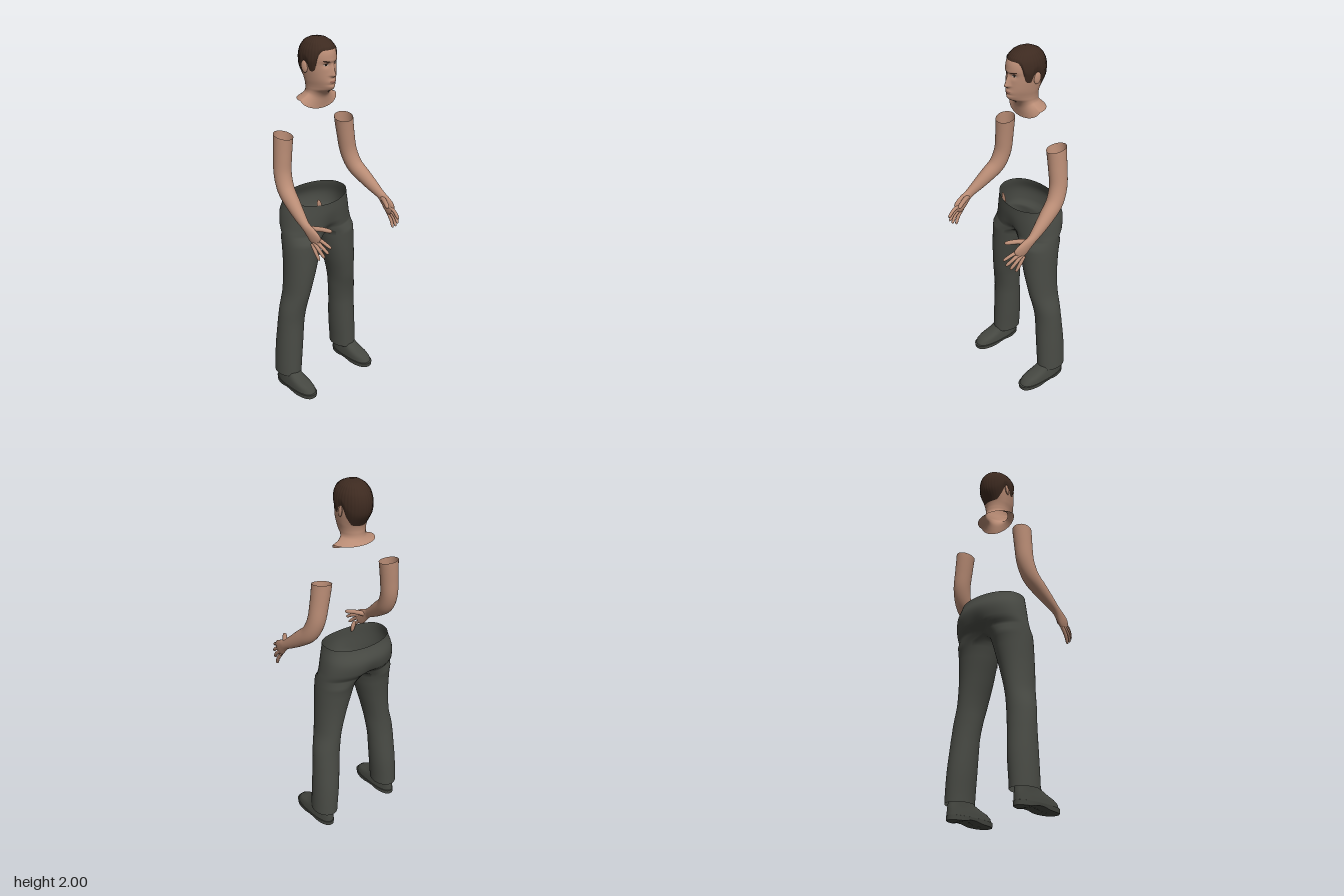
import * as THREE from 'three';
import { mergeGeometries, mergeVertices, toCreasedNormals } from 'three/addons/utils/BufferGeometryUtils.js';

const { sin, cos, PI, abs, max, min, exp, floor } = Math;
const CX = -0.018; // symmetry plane of head, trousers and shoes
const V = (x, y, z) => new THREE.Vector3(x, y, z);
const range = (n, f) => Array.from({ length: n }, (_, i) => f(i));

function makeMaterial(name, color, side = THREE.FrontSide) {
  const m = new THREE.MeshStandardMaterial({ color, side });
  m.name = name;
  return m;
}

// Smooth lookup in a table of cross-sections whose first column is the descending key
function at(rows, key) {
  let k = 0;
  while (k < rows.length - 2 && key < rows[k + 1][0]) k++;
  const f = min(1, max(0, (key - rows[k][0]) / (rows[k + 1][0] - rows[k][0])));
  const [p, a, b, n] = [rows[max(0, k - 1)], rows[k], rows[k + 1], rows[min(rows.length - 1, k + 2)]];
  return a.map((_, c) => a[c] + 0.5 * f * (b[c] - p[c] + f * (2 * p[c] - 5 * a[c] + 4 * b[c] - n[c]
    + f * (3 * (a[c] - b[c]) + n[c] - p[c]))));
}

// Skin over closed rings, listed from top to bottom
function loft(rings) {
  const n = rings[0].length, idx = [];
  for (let j = 0; j < rings.length - 1; j++) for (let i = 0; i < n; i++) {
    const a = j * n + i, d = j * n + (i + 1) % n;
    idx.push(a, a + n, d, a + n, d + n, d);
  }
  const g = new THREE.BufferGeometry().setFromPoints(rings.flat());
  g.setIndex(idx);
  g.computeVertexNormals();
  return g;
}

// Elliptical tube through [x, y, z, radiusX, radiusAcross] stations
function sweep(stations, steps, sides, rimTilt = 0) {
  const last = stations.length - 1;
  const rows = stations.map((s, i) => [-i, ...s]);
  const pos = t => { const r = at(rows, -t); return V(r[1], r[2], r[3]); };
  return loft(range(steps + 1, j => {
    const t = (j / steps) * last, r = at(rows, -t), c = pos(t);
    const d = pos(min(last, t + 0.05)).sub(pos(max(0, t - 0.05))).normalize();
    const u = V(1, 0, 0).addScaledVector(d, -d.x).normalize(), v = d.clone().cross(u);
    return range(sides, i => {
      const a = (i / sides) * 2 * PI;
      const p = c.clone().addScaledVector(u, sin(a) * r[4]).addScaledVector(v, cos(a) * r[5]);
      if (j === 0) p.y -= (p.z - c.z) * rimTilt;
      return p;
    });
  }));
}

// Head and neck sections: y, half width, front z, back z, front dip
const HEAD = [
  [1.993, 0, -0.08, -0.08, 0], [1.988, 0.03, -0.045, -0.117, 0], [1.973, 0.054, -0.01, -0.15, 0],
  [1.945, 0.072, 0.018, -0.174, 0], [1.91, 0.08, 0.028, -0.186, 0], [1.875, 0.081, 0.025, -0.187, 0],
  [1.84, 0.079, 0.026, -0.18, 0], [1.81, 0.075, 0.028, -0.165, 0], [1.785, 0.071, 0.03, -0.152, 0],
  [1.76, 0.066, 0.032, -0.147, 0], [1.742, 0.064, 0.02, -0.147, 0], [1.728, 0.064, -0.014, -0.148, 0.005],
  [1.715, 0.07, -0.034, -0.152, 0.018], [1.7, 0.093, -0.04, -0.162, 0.038], [1.688, 0.122, -0.042, -0.176, 0.052],
];
function headPoint(a, key, grow = 0) {
  const [, hw, zf, zb, dip] = at(HEAD, key);
  const c = cos(a), front = max(0, c), zc = -0.08;
  const bump = (y, h) => exp(-(((key - y) / h) ** 2));
  let x = hw * sin(a) * (1 - 0.3 * front * front * bump(1.752, 0.03));
  let z = zc + (c > 0 ? (zf - zc) * c : (zc - zb) * c);
  if (front > 0) {
    // nose, eye sockets, brow, lips and the groove above the chin
    const f = key > 1.82 ? max(0, 1 - (key - 1.82) / 0.062) : max(0, 1 - (1.82 - key) / 0.014);
    z += 0.024 * f * exp(-((x / (0.008 + 0.007 * f)) ** 2));
    z -= 0.008 * bump(1.872, 0.013) * exp(-(((abs(x) - 0.03) / 0.016) ** 2));
    z += 0.003 * bump(1.893, 0.009) * exp(-((x / 0.05) ** 2));
    z += 0.006 * bump(1.788, 0.01) * exp(-((x / 0.022) ** 2));
    z -= 0.004 * bump(1.772, 0.006) * exp(-((x / 0.025) ** 2));
  }
  x += grow * sin(a);
  return V(CX + x, key - dip * front, z + grow * c);
}
const HAIRLINE = [[0, 1.946], [-0.65, 1.942], [-0.9, 1.915], [-1.05, 1.85], [-1.35, 1.84],
  [-1.5, 1.875], [-1.75, 1.88], [-2.0, 1.83], [-2.4, 1.79], [-PI, 1.782]];

// Oval plate lying on the face
function facePatch(a0, y0, da, dy, lift, slope = 0) {
  const n = 20, pts = range(4, j => range(n, i => {
    const r = j / 3, t = -(i / n) * 2 * PI, dx = r * da * sin(t);
    const p = headPoint(a0 + dx, y0 + r * dy * cos(t) + slope * dx);
    p.z += lift;
    return p;
  }));
  return loft(pts.reverse());
}

// Trousers: one pelvis tube that divides into two legs, welded at the seam
function trousersGeometry() {
  const N = 56, H = N / 2;
  // y, half width, front z, back z, centre pinch
  const hips = [[1.13, 0.19, 0.02, -0.235, 0], [1.06, 0.208, 0.022, -0.262, 0.002], [0.99, 0.219, 0.02, -0.25, 0.012],
    [0.95, 0.225, 0.018, -0.222, 0.035]];
  // y, outer x, inner x, front z, back z
  const leg = [[0.95, 0.227, 0.005, 0.02, -0.215], [0.87, 0.23, 0.022, 0.02, -0.196], [0.735, 0.232, 0.06, 0.015, -0.18],
    [0.6, 0.24, 0.097, 0, -0.174], [0.5, 0.262, 0.112, -0.02, -0.176], [0.42, 0.27, 0.122, -0.03, -0.182],
    [0.25, 0.28, 0.135, -0.03, -0.197], [0.085, 0.286, 0.15, -0.03, -0.2]];
  const hipRings = range(15, j => {
    const y = 1.13 - 0.18 * j / 14, [, hw, zf, zb, pinch] = at(hips, y);
    return range(N, i => {
      const a = (i / N) * 2 * PI, c = cos(a), x = hw * sin(a);
      const z = (zf + zb) / 2 + (zf - zb) / 2 * Math.sign(c) * abs(c) ** 0.85;
      const rim = (1 - j / 14) ** 2 * (0.012 - 0.022 * max(0, c) ** 2);
      return V(x, y + rim, z - Math.sign(c) * pinch * exp(-((x / 0.05) ** 2)));
    });
  });
  const base = hipRings[14], front = base[0], back = base[H];
  const seam = range(H - 1, k => {
    const f = (k + 1) / H;
    return V(0, front.y - 0.018 * sin(f * PI), back.z + (front.z - back.z) * f);
  });
  const legRings = [[...base.slice(0, H + 1), ...seam], ...range(34, j => {
    const y = 0.92 - 0.835 * j / 33, [, xo, xi, zf, zb] = at(leg, y);
    return range(N, i => {
      const a = i <= H ? -0.6 + (PI + 1.2) * i / H : PI + 0.6 + (PI - 1.2) * (i - H) / H;
      return V((xo + xi) / 2 + (xo - xi) / 2 * sin(a), y, (zf + zb) / 2 + (zf - zb) / 2 * cos(a));
    });
  })];
  const mirrored = legRings.map(r => r.map(p => V(-p.x, p.y, p.z)).reverse());
  const parts = [hipRings, legRings, mirrored].map(loft);
  parts.forEach(g => g.deleteAttribute('normal'));
  const g = mergeVertices(mergeGeometries(parts), 1e-5);
  g.computeVertexNormals();
  return g.translate(CX, 0, 0);
}

// Shoe outline ring, wider at the toe
const shoeRing = (y, hw, zf, zb, arch = 0) => range(36, i => {
  const a = (i / 36) * 2 * PI, c = cos(a), s = sin(a);
  const z = (zf + zb) / 2 + (zf - zb) / 2 * Math.sign(c) * abs(c) ** 0.8;
  return V(hw * (0.9 + 0.1 * c) * Math.sign(s) * abs(s) ** 0.8, y + arch * exp(-(((z + 0.06) / 0.04) ** 2)), z);
});

export function createModel() {
  const model = new THREE.Group();
  const skin = makeMaterial('skin', 0xb98c75, THREE.DoubleSide);
  const cloth = makeMaterial('trouser cloth', 0x494b45, THREE.DoubleSide);
  const leather = makeMaterial('shoe leather', 0x454741, THREE.DoubleSide);
  const hairMat = makeMaterial('hair', 0x3d2a20, THREE.DoubleSide);
  const lipMat = makeMaterial('lips', 0x9c6a5a, THREE.DoubleSide);
  const eyeMat = makeMaterial('eye white', 0xb9aca4, THREE.DoubleSide);
  const irisMat = makeMaterial('iris', 0x21170f, THREE.DoubleSide);
  const add = (name, geometry, material, parent = model) => {
    const m = new THREE.Mesh(geometry, material);
    m.name = name;
    parent.add(m);
    return m;
  };

  // Head and neck, with more columns towards the face
  add('headAndNeck', loft(range(100, j => {
    const key = 1.993 - 0.305 * (j / 99) ** 1.2;
    return range(96, i => { const p = (i / 96) * 2 * PI; return headPoint(p - 0.5 * sin(p), key); });
  })), skin);

  // Hair shell from the crown to the hairline, lightly combed
  add('hair', loft(range(29, j => range(144, i => {
    const t = 1 - j / 28, a = (i / 144) * 2 * PI, side = a > PI ? 2 * PI - a : a;
    const line = at(HAIRLINE, -side)[1] ?? 1.9;
    const thick = (0.007 + 0.0008 * sin(a * 36)) * min(1, t * 5) * min(1, (1 - t) * 8);
    const p = headPoint(a, line + (1.993 - line) * sin(t * PI / 2), thick);
    p.y += 0.007 * t * t;
    return p;
  }))), hairMat);

  // Facial details and ears
  add('lips', facePatch(0, 1.787, 0.32, 0.007, 0.001), lipMat);
  for (const s of [-1, 1]) {
    add('eye', facePatch(s * 0.4, 1.873, 0.15, 0.0055, 0.0012), eyeMat);
    add('iris', facePatch(s * 0.39, 1.873, 0.065, 0.0055, 0.002), irisMat);
    add('upperLid', facePatch(s * 0.4, 1.879, 0.17, 0.002, 0.0022), irisMat);
    add('eyebrow', facePatch(s * 0.42, 1.891, 0.24, 0.0042, 0.0015, s * 0.015), hairMat);
    const ear = add('ear', new THREE.SphereGeometry(1, 20, 14), skin);
    ear.scale.set(0.008, 0.031, 0.018);
    ear.position.set(CX + s * 0.084, 1.857, -0.09);
    ear.rotation.set(-0.2, s * -0.3, 0);
  }

  // Bare arms with open upper ends, palms and fingers
  const arm = [[0.232, 1.52, -0.113, 0.051, 0.053], [0.24, 1.42, -0.112, 0.048, 0.05], [0.248, 1.32, -0.106, 0.046, 0.048],
    [0.256, 1.24, -0.073, 0.044, 0.046], [0.266, 1.185, -0.012, 0.038, 0.042], [0.275, 1.135, 0.052, 0.029, 0.033],
    [0.28, 1.1, 0.1, 0.021, 0.026], [0.279, 1.075, 0.135, 0.018, 0.034], [0.277, 1.052, 0.163, 0.015, 0.04],
    [0.273, 1.034, 0.187, 0.01, 0.034], [0.271, 1.028, 0.196, 0.001, 0.008]];
  // base, middle joint, tip
  const fingers = {
    thumb: [[0.272, 1.088, 0.12], [0.238, 1.09, 0.172], [0.207, 1.083, 0.221]],
    indexFinger: [[0.272, 1.056, 0.172], [0.265, 1.042, 0.217], [0.25, 1.016, 0.262]],
    middleFinger: [[0.276, 1.042, 0.17], [0.272, 1.016, 0.215], [0.259, 0.984, 0.251]],
    ringFinger: [[0.279, 1.028, 0.163], [0.278, 0.995, 0.2], [0.267, 0.956, 0.23]],
    littleFinger: [[0.281, 1.018, 0.15], [0.282, 0.977, 0.178], [0.276, 0.934, 0.2]],
  };
  for (const s of [-1, 1]) {
    const group = new THREE.Group();
    group.name = s > 0 ? 'leftArm' : 'rightArm';
    group.scale.x = s;
    // the left arm hangs closer to the body at the shoulder
    const shift = y => (s > 0 ? -0.034 * max(0, min(1, (y - 1.1) / 0.4)) : 0);
    add('armAndPalm', sweep(arm.map(([x, ...r]) => [x + shift(r[0]), ...r]), 60, 28, 0.2), skin, group);
    for (const [name, [a, b, c]] of Object.entries(fingers)) {
      const r = name === 'thumb' ? 0.0125 : 0.0095;
      const mix = (p, q, f) => p.map((v, i) => v + (q[i] - v) * f);
      add(name, sweep([[...a, r * 1.1, r * 1.1], [...b, r, r], [...mix(b, c, 0.8), r * 0.8, r * 0.8],
        [...c, 0.0005, 0.0005]], 18, 12), skin, group);
    }
    model.add(group);
  }

  // Trousers and the sliver of skin at the waist
  add('trousers', trousersGeometry(), cloth);
  const sliver = add('waistSkin', new THREE.SphereGeometry(1, 16, 12), skin);
  sliver.scale.set(0.015, 0.032, 0.006);
  sliver.position.set(-0.093, 1.125, 0.003);
  sliver.rotation.z = 0.25;

  // Shoes
  const upper = loft([shoeRing(0.12, 0.045, -0.05, -0.175), shoeRing(0.09, 0.047, -0.015, -0.18),
    shoeRing(0.073, 0.05, 0.03, -0.184), shoeRing(0.06, 0.053, 0.072, -0.186), shoeRing(0.045, 0.056, 0.096, -0.187),
    shoeRing(0.02, 0.058, 0.106, -0.187)]);
  const sole = toCreasedNormals(loft([shoeRing(0.026, 0.055, 0.102, -0.184), shoeRing(0.024, 0.061, 0.113, -0.191),
    shoeRing(0, 0.059, 0.11, -0.189, 0.012), shoeRing(0, 0.03, 0.08, -0.16, 0.012),
    shoeRing(0, 0.0005, 0.06, -0.14, 0.012)]), 0.7);
  for (const s of [-1, 1]) {
    const shoe = new THREE.Group();
    shoe.name = s > 0 ? 'leftShoe' : 'rightShoe';
    shoe.position.x = CX + s * 0.223;
    add('shoeUpper', upper, leather, shoe);
    add('shoeSole', sole, leather, shoe);
    model.add(shoe);
  }
  return model;
}
